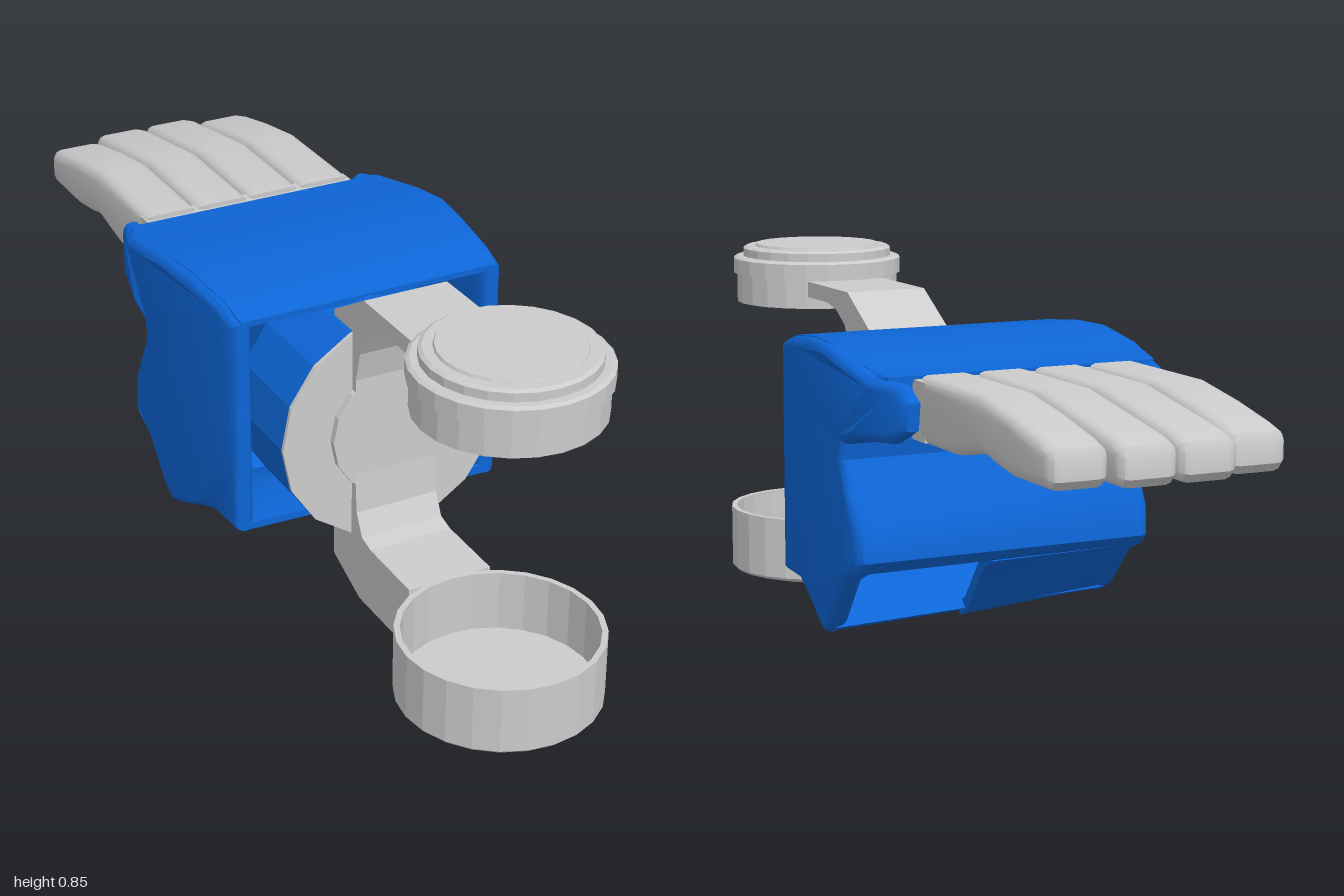
import * as THREE from 'three';
import { toCreasedNormals } from 'three/addons/utils/BufferGeometryUtils.js';

const grey = new THREE.MeshStandardMaterial({ color: 0xcccccc, flatShading: true, side: THREE.DoubleSide });
const greySmooth = new THREE.MeshStandardMaterial({ color: 0xcccccc, side: THREE.DoubleSide });
const blue = new THREE.MeshStandardMaterial({ color: 0x0d66d8, side: THREE.DoubleSide });

// Extrudes a side profile of [z, y] points across x, with rounded edges if bevel > 0.
function extrudeX(points, x0, x1, bevel = 0, curveSteps = 0) {
  let pts = points.map(([z, y]) => new THREE.Vector2(-z, y));
  if (curveSteps) {
    const curve = new THREE.CatmullRomCurve3(pts.map(p => new THREE.Vector3(p.x, p.y, 0)), true, 'centripetal');
    pts = curve.getPoints(curveSteps).slice(0, -1).map(p => new THREE.Vector2(p.x, p.y));
  }
  const geo = new THREE.ExtrudeGeometry(new THREE.Shape(pts), {
    depth: x1 - x0 - 2 * bevel, bevelEnabled: bevel > 0, bevelSize: bevel,
    bevelThickness: bevel, bevelOffset: -bevel, bevelSegments: 3,
  });
  geo.translate(0, 0, x0 + bevel);
  geo.rotateY(Math.PI / 2);
  return geo;
}

// Half width of the hand shell along z.
function halfWidth(z) {
  const stops = [[-0.44, 0.3], [-0.35, 0.335], [-0.25, 0.355], [-0.1, 0.352], [0.05, 0.335], [0.2, 0.325]];
  for (let i = 1; i < stops.length; i++) {
    const [za, wa] = stops[i - 1], [zb, wb] = stops[i];
    if (z <= zb) return wa + (wb - wa) * Math.max(0, (z - za) / (zb - za));
  }
  return 0.325;
}

function bulge(geo) {
  const p = geo.attributes.position;
  for (let i = 0; i < p.count; i++) {
    p.setX(i, p.getX(i) * halfWidth(p.getZ(i)) / 0.355);
    // the right wall hangs a little less low
    if (p.getX(i) < -0.24 && p.getY(i) < 0.3) p.setY(i, 0.3 - (0.3 - p.getY(i)) * 0.86);
  }
  return geo;
}

export function createModel() {
  const model = new THREE.Group();
  function add(name, geo, mat, parent = model, crease = 0.6) {
    const mesh = new THREE.Mesh(crease ? toCreasedNormals(geo, crease) : geo, mat);
    mesh.name = name;
    parent.add(mesh);
    return mesh;
  }

  // Hand shell: two side walls, back of hand, palm and floor
  const shell = new THREE.Group();
  shell.name = 'handShell';
  model.add(shell);
  const wall = [
    [0.2, 0.18], [0.2, 0.45], [0.2, 0.7], [0.13, 0.722], [0, 0.735], [-0.1, 0.735], [-0.22, 0.715],
    [-0.32, 0.69], [-0.4, 0.685], [-0.43, 0.65], [-0.425, 0.59], [-0.38, 0.56], [-0.26, 0.55],
    [-0.212, 0.535], [-0.205, 0.5], [-0.24, 0.43], [-0.283, 0.36], [-0.29, 0.29], [-0.265, 0.262],
    [-0.21, 0.235], [-0.13, 0.125], [-0.09, 0.1], [-0.05, 0.115], [0.02, 0.15], [0.09, 0.18],
  ];
  for (const side of [-1, 1]) {
    const [a, b] = side > 0 ? [0.305, 0.355] : [-0.355, -0.305];
    add(side > 0 ? 'leftWall' : 'rightWall', bulge(extrudeX(wall, a, b, 0.02)), blue, shell);
  }
  const back = [
    [0.2, 0.692], [0.2, 0.705], [0.13, 0.724], [0, 0.737], [-0.1, 0.737], [-0.22, 0.717],
    [-0.32, 0.7], [-0.36, 0.695], [-0.36, 0.68], [-0.3, 0.685], [0, 0.695],
  ];
  add('backOfHand', bulge(extrudeX(back, -0.335, 0.335)), blue, shell);
  const palm = [
    [-0.35, 0.56], [-0.26, 0.55], [-0.212, 0.535], [-0.205, 0.5], [-0.24, 0.43], [-0.283, 0.36],
    [-0.288, 0.29], [-0.255, 0.26], [-0.235, 0.28], [-0.255, 0.35], [-0.21, 0.43],
    [-0.17, 0.5], [-0.185, 0.55], [-0.25, 0.572], [-0.35, 0.575],
  ];
  add('palm', bulge(extrudeX(palm, -0.33, 0.33)), blue, shell);
  // lower palm leaves a thumb opening on the left
  const heel = [[-0.255, 0.26], [-0.21, 0.235], [-0.13, 0.128], [-0.09, 0.105], [-0.09, 0.135], [-0.12, 0.155], [-0.19, 0.25], [-0.235, 0.28]];
  add('palmHeel', bulge(extrudeX(heel, -0.33, 0.02)), blue, shell);
  const floor = [[-0.12, 0.115], [-0.09, 0.102], [-0.05, 0.117], [0.02, 0.152], [0.09, 0.181], [0.2, 0.181], [0.2, 0.2], [0.08, 0.2], [0.01, 0.18], [-0.1, 0.135]];
  add('floor', bulge(extrudeX(floor, -0.33, 0.33)), blue, shell);

  // Wrist cuff and its end plates
  const disc = (r, z0, z1) => new THREE.CylinderGeometry(r, r, z1 - z0, 16)
    .rotateY(Math.PI / 2).rotateX(Math.PI / 2).translate(-0.005, 0.44, (z0 + z1) / 2);
  add('wristCuff', disc(0.26, 0.08, 0.303), blue, model, 0.3);
  add('wristPlate', disc(0.262, 0.303, 0.312), grey, model, 0);
  add('wristHub', disc(0.15, 0.31, 0.328), grey, model, 0);

  // Forked arm holding the lid and the cup
  const arm = [
    [0.6, 0.745], [0.6, 0.782], [0.36, 0.782], [0.23, 0.705], [0.23, 0.69], [0.312, 0.69], [0.312, 0.2],
    [0.23, 0.2], [0.23, 0.1], [0.35, 0.05], [0.57, 0.05], [0.57, 0.198], [0.4, 0.2], [0.36, 0.21],
    [0.335, 0.26], [0.328, 0.35], [0.328, 0.58], [0.345, 0.65], [0.38, 0.705], [0.43, 0.735], [0.48, 0.745],
  ];
  add('forkedArm', extrudeX(arm, -0.103, 0.093), grey, model, 0);

  // Stepped lid, hollow underneath, and round-bottomed cup
  const lathe = pts => new THREE.LatheGeometry(pts.map(([r, y]) => new THREE.Vector2(r, y)), 24);
  const lid = [
    [0, 0.785], [0.185, 0.785], [0.185, 0.715], [0.198, 0.715], [0.198, 0.786], [0.206, 0.786], [0.206, 0.822],
    [0.198, 0.827], [0.182, 0.827], [0.182, 0.846], [0.174, 0.851], [0.153, 0.851], [0.15, 0.857], [0, 0.857],
  ];
  add('lid', lathe(lid).translate(-0.005, 0, 0.78), grey, model, 0);
  const cup = [
    [0, 0.005], [0.06, 0.008], [0.12, 0.019], [0.17, 0.031], [0.213, 0.043], [0.22, 0.05],
    [0.22, 0.198], [0.207, 0.198], [0.207, 0.06], [0, 0.06],
  ];
  add('cup', lathe(cup).translate(-0.005, 0, 0.78), grey, model, 0);

  // Four fingers growing from a knuckle block
  const fingers = new THREE.Group();
  fingers.name = 'fingers';
  model.add(fingers);
  add('knuckles', new THREE.BoxGeometry(0.52, 0.125, 0.06).translate(-0.005, 0.625, -0.385), grey, fingers, 0);
  for (let i = 0; i < 4; i++) {
    const tip = i === 0 || i === 3 ? -0.966 : -1;
    const profile = [
      [-0.38, 0.557], [-0.38, 0.698], [-0.66, 0.698], [-0.8, 0.675], [tip + 0.05, 0.65], [tip + 0.01, 0.638],
      [tip, 0.62], [tip, 0.575], [tip + 0.015, 0.557], [-0.8, 0.557], [-0.73, 0.568], [-0.67, 0.582], [-0.6, 0.568], [-0.54, 0.557],
    ];
    const x = -0.266 + i * 0.1305;
    add('finger', extrudeX(profile, x, x + 0.1305, 0.024), greySmooth, fingers);
  }
  return model;
}
